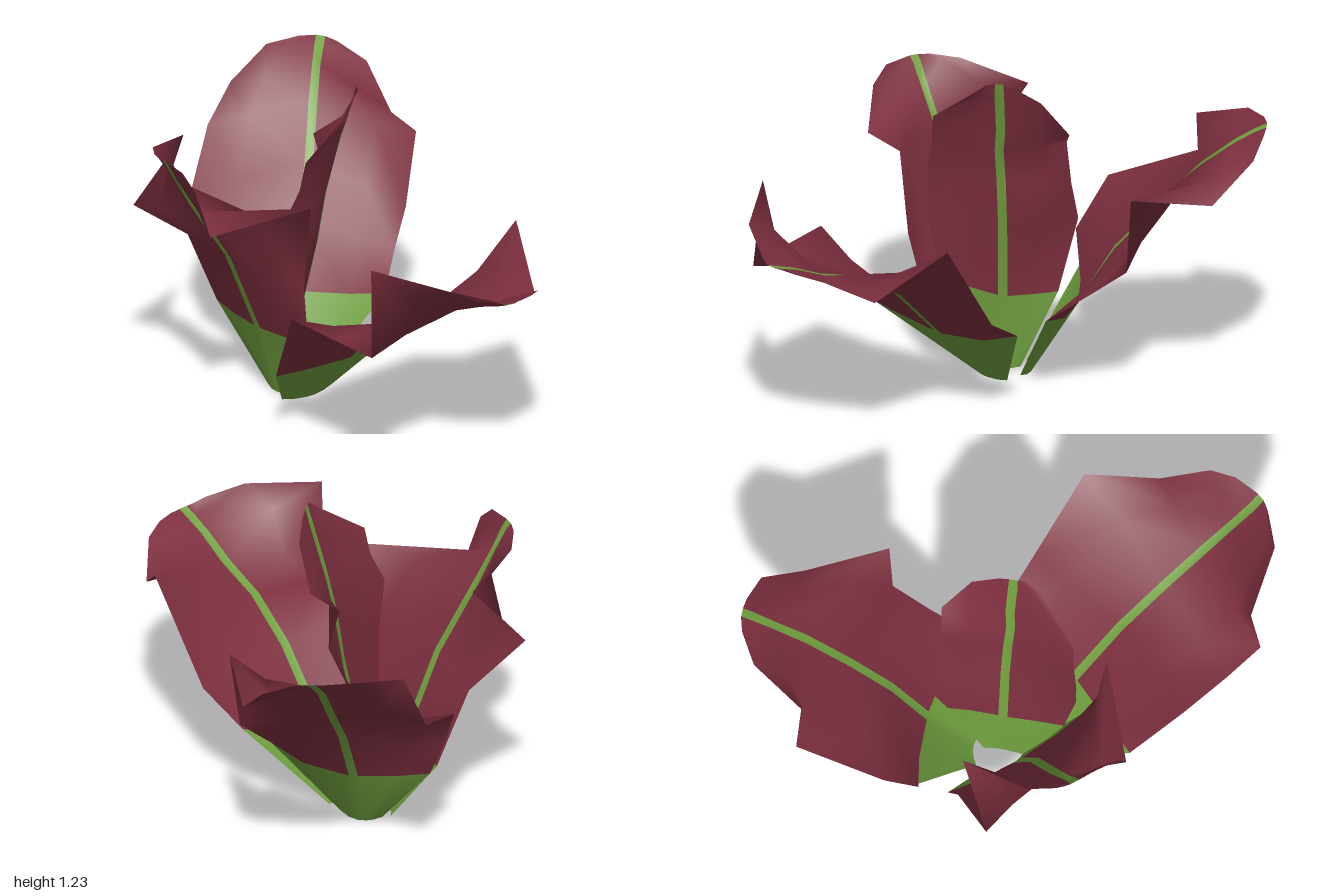
import * as THREE from 'three';

const V = (a) => new THREE.Vector3(...a);

// Cross-sections from stem to tip, each [one edge, midrib, other edge].
// "out" is the direction the underside of the leaf faces.
const leaves = {
  frontLeaf: { out: [0, -0.3, 1], rows: [
    [[-0.33, 0.01, 0.12], [-0.23, 0, 0.16], [-0.12, 0.01, 0.13]],
    [[-0.52, 0.28, 0.21], [-0.23, 0.28, 0.24], [0.06, 0.31, 0.22]],
    [[-0.55, 0.58, 0.33], [-0.24, 0.60, 0.37], [0.10, 0.56, 0.27]],
    [[-0.57, 0.74, 0.56], [-0.245, 0.83, 0.52], [0.14, 0.90, 0.27]],
    [[-0.54, 0.98, 0.35], [-0.25, 0.98, 0.61], [0.00, 0.83, 0.63]],
    [[-0.41, 1.04, 0.59], [-0.25, 1.05, 0.65], [-0.05, 1.00, 0.66]],
    [[-0.32, 1.06, 0.65], [-0.25, 1.07, 0.67], [-0.12, 1.06, 0.67]],
  ] },
  leftLeaf: { out: [0.5, -0.87, 0], rows: [
    [[-0.13, 0.01, 0.20], [-0.11, 0, 0.08], [-0.13, 0.01, -0.03]],
    [[0.14, 0.26, 0.43], [0.13, 0.24, 0.06], [0.04, 0.31, -0.30]],
    [[0.33, 0.58, 0.50], [0.34, 0.45, 0.045], [0.22, 0.42, -0.37]],
    [[0.55, 0.56, 0.46], [0.54, 0.57, 0.03], [0.48, 0.79, -0.43]],
    [[0.72, 0.54, 0.42], [0.72, 0.63, 0.01], [0.74, 0.62, -0.32]],
    [[0.69, 0.88, 0.40], [0.86, 0.69, 0], [0.90, 0.71, -0.22]],
    [[0.92, 0.82, 0.20], [0.95, 0.72, -0.01], [0.96, 0.73, -0.14]],
    [[0.98, 0.77, 0.06], [1.00, 0.74, -0.02], [0.98, 0.74, -0.08]],
  ] },
  backLeaf: { out: [-0.6, -0.6, -0.52], rows: [
    [[-0.32, 0.01, 0.09], [-0.29, 0, 0.02], [-0.20, 0.01, -0.02]],
    [[-0.61, 0.31, 0.13], [-0.42, 0.27, -0.09], [-0.12, 0.32, -0.27]],
    [[-0.63, 0.43, 0.18], [-0.52, 0.50, -0.19], [-0.22, 0.43, -0.39]],
    [[-0.76, 0.62, 0.15], [-0.63, 0.67, -0.30], [-0.31, 0.54, -0.51]],
    [[-0.99, 0.74, -0.10], [-0.75, 0.84, -0.41], [-0.30, 0.84, -0.55]],
    [[-0.93, 0.92, -0.16], [-0.85, 0.94, -0.50], [-0.60, 0.78, -0.66]],
    [[-1.00, 0.99, -0.38], [-0.90, 0.98, -0.55], [-0.78, 0.92, -0.68]],
    [[-0.97, 1.00, -0.51], [-0.93, 1.00, -0.58], [-0.88, 0.98, -0.62]],
  ] },
  innerLeaf: { out: [0.7, 0, -0.7], rows: [
    [[-0.26, 0.01, 0.05], [-0.20, 0, 0.09], [-0.14, 0.01, 0.16]],
    [[-0.35, 0.32, -0.06], [-0.19, 0.30, 0.07], [-0.03, 0.36, 0.24]],
    [[-0.43, 0.60, -0.08], [-0.15, 0.60, 0.02], [0.01, 0.60, 0.26]],
    [[-0.34, 0.78, -0.15], [-0.125, 0.80, 0], [0.00, 0.81, 0.28]],
    [[-0.35, 0.93, -0.11], [-0.10, 0.93, -0.02], [0.02, 0.92, 0.23]],
    [[-0.29, 1.00, -0.20], [-0.09, 1.02, -0.04], [0.03, 1.03, 0.21]],
    [[-0.17, 1.15, -0.18], [-0.06, 1.17, -0.07], [0.03, 1.16, 0.02]],
    [[-0.09, 1.21, -0.12], [-0.05, 1.23, -0.08], [-0.01, 1.22, -0.05]],
  ] },
};

// Point between midrib (t = 0) and edge (t = 1); a higher cup exponent bows the blade along "out"
function bladePoint(rib, edge, t, out, cup) {
  const d = edge.clone().sub(rib);
  const depth = d.dot(out);
  return rib.clone().addScaledVector(d, t).addScaledVector(out, depth * (t ** cup - t));
}

function leafGeometry({ out, rows }) {
  const n = V(out).normalize();
  const halfRib = 0.018;
  const pts = [];
  rows.forEach((row, r) => {
    const [a, rib, b] = row.map(V);
    const cup = r < 2 ? 2 : 1.7; // deep at the stem, flatter above
    const side = (edge, t) => bladePoint(rib, edge, t, n, cup);
    const ta = Math.min(0.3, halfRib / a.distanceTo(rib));
    const tb = Math.min(0.3, halfRib / b.distanceTo(rib));
    pts.push(a, side(a, 0.6), side(a, ta), side(b, tb), side(b, 0.6), b);
  });
  // Faces sorted by colour: green stem end and midrib, red blade
  const green = [], red = [];
  for (let r = 0; r < rows.length - 1; r++) {
    for (let c = 0; c < 5; c++) {
      const i = r * 6 + c;
      (r === 0 || c === 2 ? green : red).push(i, i + 1, i + 6, i + 1, i + 7, i + 6);
    }
  }
  const geo = new THREE.BufferGeometry().setFromPoints(pts);
  geo.setIndex([...green, ...red]);
  geo.addGroup(0, green.length, 0);
  geo.addGroup(green.length, red.length, 1);
  geo.computeVertexNormals();
  return geo;
}

export function createModel() {
  const material = (name, color) => {
    const m = new THREE.MeshStandardMaterial({ color, side: THREE.DoubleSide });
    m.name = name;
    return m;
  };
  const materials = [material('stemGreen', 0x71a03f), material('leafRed', 0x7d2f3f)];
  const group = new THREE.Group();
  group.name = 'leafyPlant';
  for (const [name, leaf] of Object.entries(leaves)) {
    const mesh = new THREE.Mesh(leafGeometry(leaf), materials);
    mesh.name = name;
    group.add(mesh);
  }
  return group;
}
